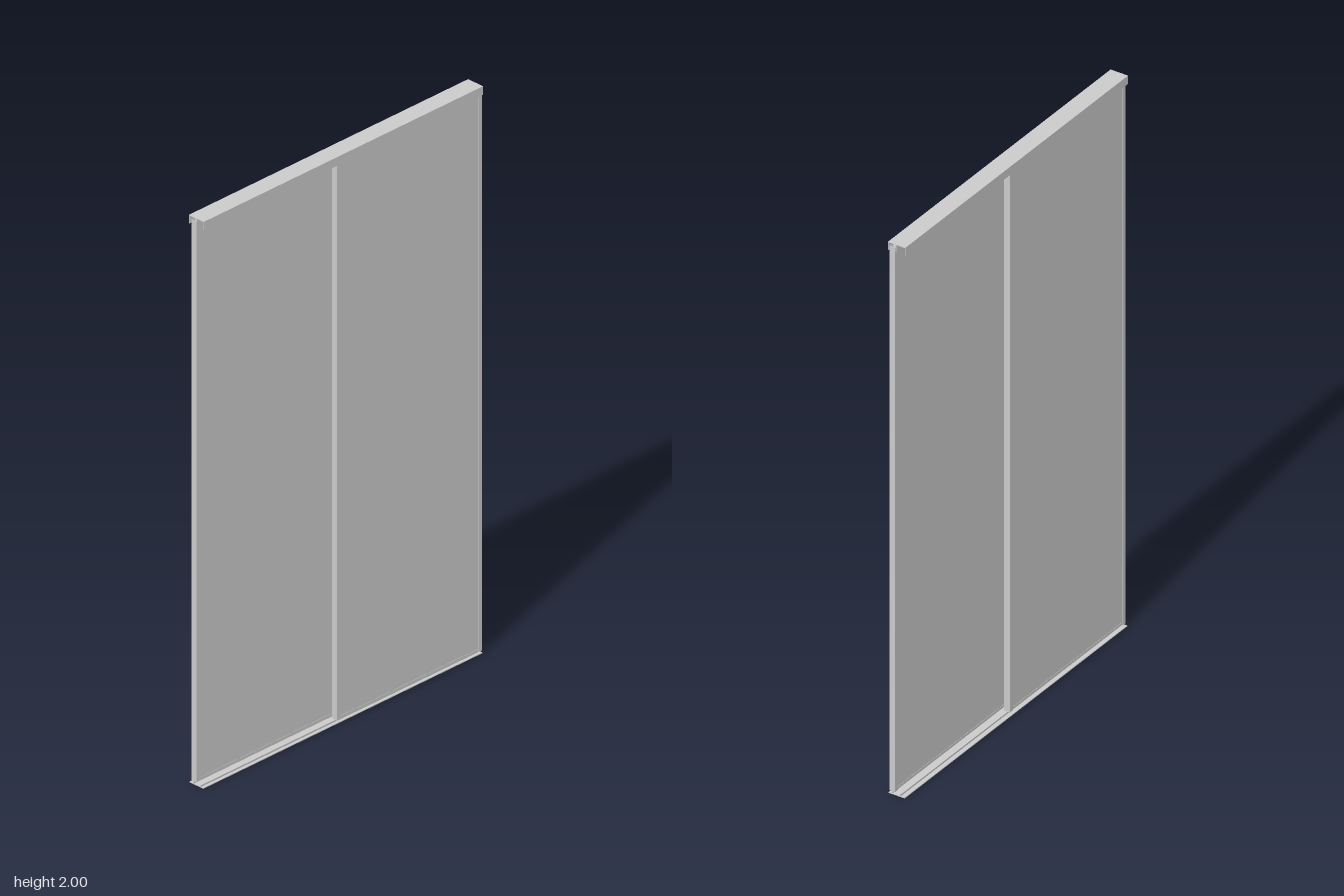
import * as THREE from 'three';

const material = new THREE.MeshStandardMaterial({ color: 0xcccccc, flatShading: true });

function box(name, x0, x1, y0, y1, z0, z1) {
  const mesh = new THREE.Mesh(new THREE.BoxGeometry(x1 - x0, y1 - y0, z1 - z0), material);
  mesh.position.set((x0 + x1) / 2, (y0 + y1) / 2, (z0 + z1) / 2);
  mesh.name = name;
  return mesh;
}

// Section in (z, y), extruded along x over the full width
function track(name, points, halfWidth) {
  const shape = new THREE.Shape(points.map(([z, y]) => new THREE.Vector2(-z, y)));
  const geometry = new THREE.ExtrudeGeometry(shape, { depth: 2 * halfWidth, bevelEnabled: false });
  geometry.translate(0, 0, -halfWidth);
  geometry.rotateY(Math.PI / 2);
  // rotateY(90) maps shape x to -z, so the section keeps its z sign
  const mesh = new THREE.Mesh(geometry, material);
  mesh.name = name;
  return mesh;
}

// Sliding panel: a sheet held between two C-shaped stiles and two slim rails
function doorPanel(name, x0, x1, z) {
  const panel = new THREE.Group();
  panel.name = name;
  const half = 0.011, stile = 0.015, wall = 0.002, bottom = 0.01, top = 1.985;
  panel.add(box('sheet', x0 + wall, x1 - wall, 0.014, 1.975, z - 0.008, z + 0.008));
  for (const [edge, dir] of [[x0, 1], [x1, -1]]) {
    const span = (a, b) => [Math.min(edge + dir * a, edge + dir * b), Math.max(edge + dir * a, edge + dir * b)];
    panel.add(box('stileWeb', ...span(0, wall), bottom, top, z - half, z + half));
    for (const side of [-1, 1]) {
      const c = z + side * (half - wall / 2);
      panel.add(box('stileFlange', ...span(wall, stile), bottom, top, c - wall / 2, c + wall / 2));
    }
  }
  panel.add(box('topRail', x0 + stile, x1 - stile, 1.962, 1.98, z - 0.009, z + 0.009));
  panel.add(box('bottomRail', x0 + stile, x1 - stile, 0.012, 0.02, z - 0.009, z + 0.009));
  return panel;
}

export function createModel() {
  const group = new THREE.Group();
  group.name = 'slidingDoor';

  // Two overlapping panels, each in its own lane
  group.add(doorPanel('frontPanel', -0.024, 0.612, 0.018));
  group.add(doorPanel('backPanel', -0.612, 0.024, -0.013));

  // Top track: plate with outer lips and a short middle divider
  const w = 0.0325, t = 0.002;
  group.add(track('topTrack', [
    [-w, 2], [-w, 1.97], [-w + t, 1.97], [-w + t, 2 - t],
    [0.0015, 2 - t], [0.0015, 1.975], [0.0035, 1.975], [0.0035, 2 - t],
    [w - t, 2 - t], [w - t, 1.97], [w, 1.97], [w, 2],
  ], 0.614));

  // Bottom track: thin plate with a guide rib under each panel
  const section = [[-0.03, 0], [-0.03, 0.003]];
  for (const z of [-0.013, 0.018]) {
    section.push([z - 0.002, 0.003], [z - 0.002, 0.009], [z + 0.002, 0.009], [z + 0.002, 0.003]);
  }
  section.push([0.03, 0.003], [0.03, 0]);
  group.add(track('bottomTrack', section, 0.614));

  return group;
}
